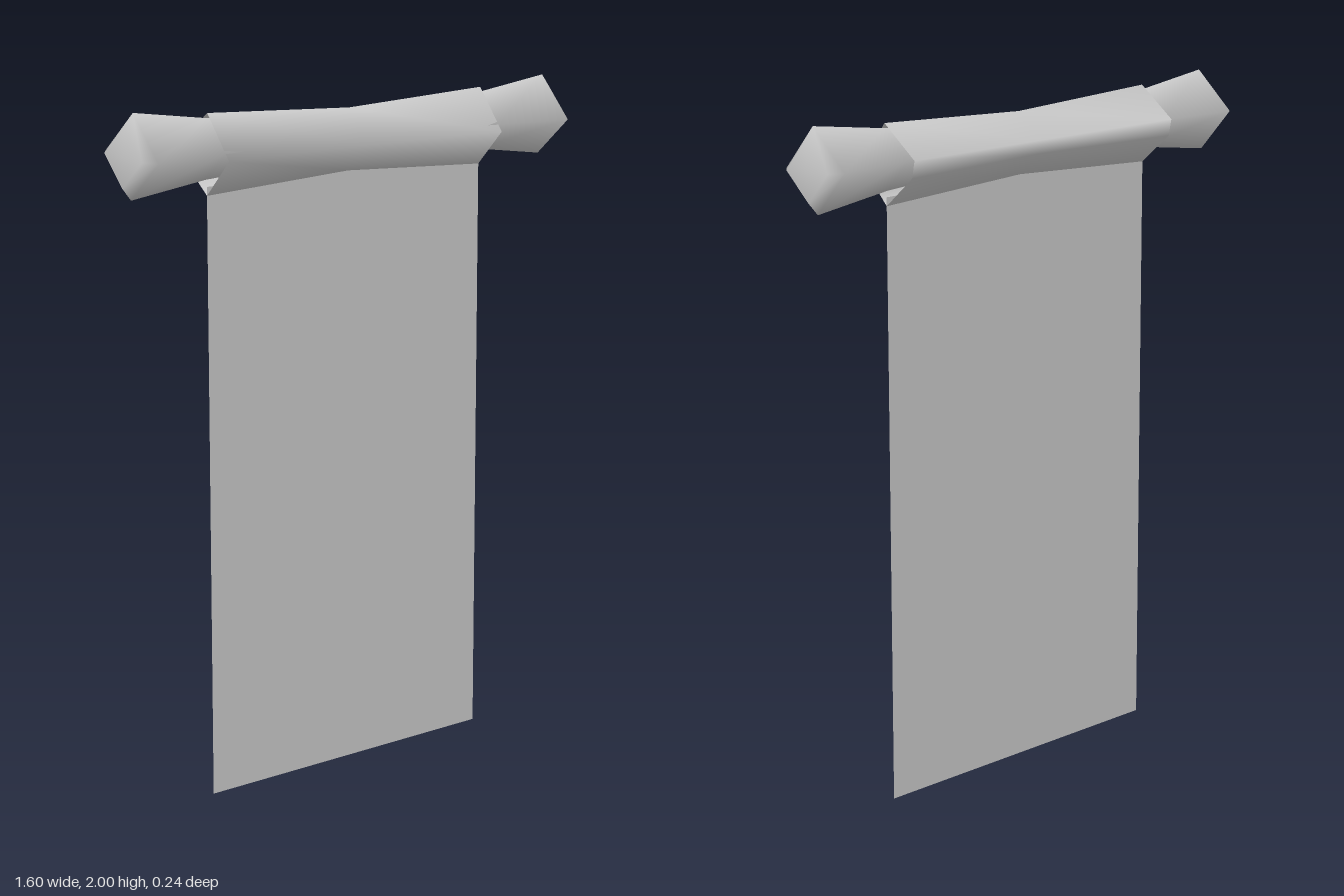
import * as THREE from 'three';

const grey = () => new THREE.MeshStandardMaterial({ color: 0xcccccc, side: THREE.DoubleSide });
const AXIS_Y = 1.88, HALF = 0.515;

// Four-sided rod with a flared, bevelled grip at each end
function makeRod() {
  const half = [[0.055, 0], [0.086, 0.515], [0.12, 0.77], [0.085, 0.8], [0, 0.8]];
  const profile = [
    ...half.slice(1).reverse().map(([r, x]) => new THREE.Vector2(r, -x)),
    ...half.map(([r, x]) => new THREE.Vector2(r, x)),
  ];
  const geo = new THREE.LatheGeometry(profile, 4);
  geo.rotateZ(-Math.PI / 2).rotateX(0.06).translate(0, AXIS_Y, 0);
  const rod = new THREE.Mesh(geo, grey());
  rod.name = 'rodWithHandles';
  return rod;
}

// Rolled paper: open-ended shell, pinched at the middle
function makeRoll() {
  // [z, y] around the section: bottom, front, top, back, lower back
  const end = [[0, 1.75], [0.1, 1.855], [0.005, 1.98], [-0.115, 1.89], [-0.105, 1.84]];
  const mid = [[0, 1.775], [0.077, 1.855], [0.005, 1.957], [-0.092, 1.885], [-0.083, 1.845]];
  const n = end.length, pos = [], index = [];
  [[-HALF, end], [0, mid], [HALF, end]].forEach(([x, ring], s) => {
    ring.forEach(([z, y], i) => {
      pos.push(x, y, z);
      if (s === 2) return;
      const a = s * n + i, b = s * n + (i + 1) % n;
      index.push(a, a + n, b, b, a + n, b + n);
    });
  });
  const geo = new THREE.BufferGeometry();
  geo.setAttribute('position', new THREE.Float32BufferAttribute(pos, 3));
  geo.setIndex(index);
  geo.computeVertexNormals();
  const roll = new THREE.Mesh(geo, grey());
  roll.name = 'paperRoll';
  return roll;
}

// Flat sheet hanging from the underside of the roll
function makeSheet() {
  const top = 1.775;
  const sheet = new THREE.Mesh(new THREE.PlaneGeometry(HALF * 2, top), grey());
  sheet.position.y = top / 2;
  sheet.name = 'hangingSheet';
  return sheet;
}

export function createModel() {
  const group = new THREE.Group();
  group.name = 'scroll';
  group.add(makeRod(), makeRoll(), makeSheet());
  return group;
}
